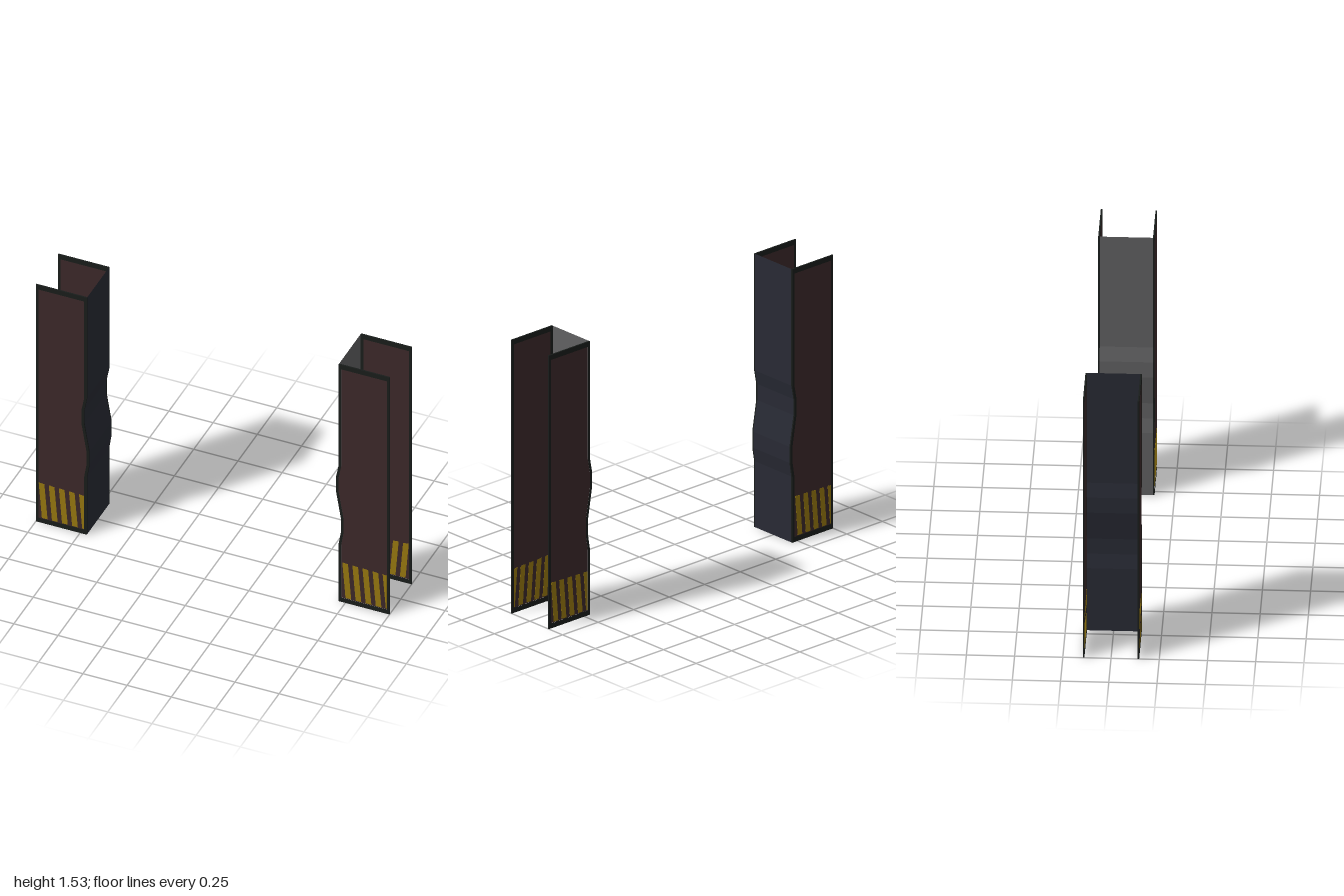
import * as THREE from 'three';

const HEIGHT = 1.535, HALF_DEPTH = 0.146, THICK = 0.008;

// sideways bend of the wall: [height, shift in x]
const BEND = [[0, 0], [0.37, 0], [0.45, 0.013], [0.54, 0.013], [0.71, -0.015], [0.8, -0.015], [0.88, 0], [HEIGHT, 0]];

const material = (name, color, side = THREE.FrontSide) => {
  const m = new THREE.MeshStandardMaterial({ color, side });
  m.name = name;
  return m;
};

function mesh(name, geometry, mat) {
  const m = new THREE.Mesh(geometry, mat);
  m.name = name;
  return m;
}

// outline of a side panel from the bent wall edge to the open edge, inset by the rim width
function outline(wallX, openX, insetX, insetY) {
  const s = Math.sign(openX);
  const points = BEND.map(([y, dx]) => new THREE.Vector2(
    wallX + dx + s * insetX, THREE.MathUtils.clamp(y, insetY, HEIGHT - insetY)));
  points.push(new THREE.Vector2(openX - s * insetX, HEIGHT - insetY));
  points.push(new THREE.Vector2(openX - s * insetX, insetY));
  return points;
}

// flat plate centred on z = 0
function plate(shapes, depth) {
  const g = new THREE.ExtrudeGeometry(shapes, { depth, bevelEnabled: false });
  return g.translate(0, 0, -depth / 2);
}

// slanted stripes along the foot of a panel, cut off at the rim
function stripeShapes(start, end) {
  const shapes = [];
  for (let i = 0; i < 5; i++) {
    const x = start + i * 0.057;
    const top = 0.257 - i * 0.002;
    const cut = (v) => Math.min(v, end);
    const corners = [[x, top], [x + 0.032, top - 0.003], [x + 0.05, 0.032], [x + 0.018, 0.032]];
    shapes.push(new THREE.Shape(corners.map(([a, b]) => new THREE.Vector2(cut(a), b))));
  }
  return shapes;
}

// one side panel: dark rim, inner sheet and stripes
function sidePanel(name, wallX, openX, stripes, mats) {
  const group = new THREE.Group();
  group.name = name;
  const inner = outline(wallX, openX, 0.015, 0.028);
  const frame = new THREE.Shape(outline(wallX, openX, 0, 0));
  frame.holes.push(new THREE.Path(inner));
  group.add(mesh('rim', plate(frame, THICK), mats.rim));
  group.add(mesh('sheet', plate(new THREE.Shape(inner), THICK - 0.002), mats.sheet));
  const bars = mesh('stripes', plate(stripes, THICK), mats.stripe);
  group.add(bars);
  return group;
}

// bent wall joining the two side panels
function wallGeometry(wallX) {
  const g = new THREE.PlaneGeometry(1, 1, 1, BEND.length - 1);
  const p = g.attributes.position;
  const half = HALF_DEPTH - THICK;
  for (let i = 0; i < p.count; i++) {
    const [y, dx] = BEND[BEND.length - 1 - Math.floor(i / 2)];
    p.setXYZ(i, wallX + dx, y, i % 2 ? -half : half);
  }
  const flat = g.toNonIndexed();
  flat.computeVertexNormals();
  return flat;
}

export function createModel() {
  const model = new THREE.Group();
  model.name = 'postPair';
  const mats = {
    rim: material('blackRim', 0x191d1b),
    sheet: material('darkBrown', 0x3c292a),
    stripe: material('warningYellow', 0x977810),
  };
  const grey = material('greyWall', 0x616162, THREE.DoubleSide);
  const navy = material('navyWall', 0x282a34, THREE.DoubleSide);

  // each post is a channel open towards the outside
  for (const s of [1, -1]) {
    const post = new THREE.Group();
    post.name = s > 0 ? 'leftPost' : 'rightPost';
    const wallX = s * 0.712, openX = s;
    const start = s > 0 ? 0.733 : -0.984;
    const end = s > 0 ? 0.984 : -0.728;

    const front = sidePanel('frontPanel', wallX, openX, stripeShapes(start, end), mats);
    front.position.z = HALF_DEPTH - THICK / 2;

    // stripes on the back slant the other way in x, so they read the same from behind
    const backStart = s > 0 ? -0.984 : 0.733;
    const backEnd = s > 0 ? -0.728 : 0.984;
    const turned = stripeShapes(backStart, backEnd).map((shape) =>
      new THREE.Shape(shape.getPoints().map((v) => new THREE.Vector2(-v.x, v.y))));
    const back = sidePanel('backPanel', wallX, openX, turned, mats);
    back.position.z = -HALF_DEPTH + THICK / 2;

    post.add(front, back, mesh('wall', wallGeometry(wallX), s > 0 ? grey : navy));
    model.add(post);
  }
  return model;
}
